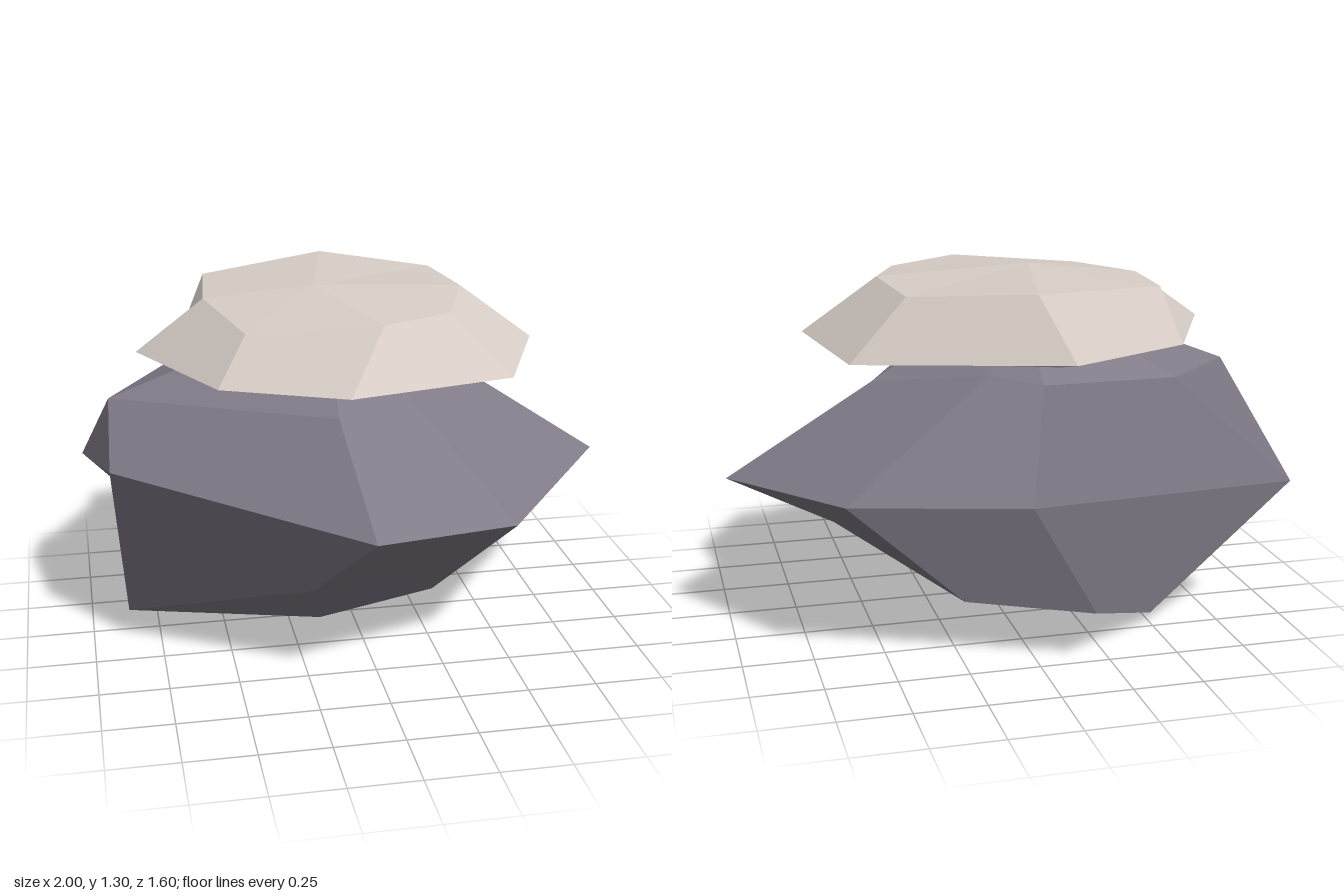
import * as THREE from 'three';

// Skin a stack of rings (bottom to top, each running +z -> +x -> -z) closed by two poles.
// Each quad or triangle is shaded flat with a single normal.
function facetedStone(name, rings, bottom, top, material) {
  const pos = [], nor = [];
  const v = (p) => new THREE.Vector3(...p);
  const tri = (a, b, c, normal) => {
    pos.push(...a, ...b, ...c);
    for (let k = 0; k < 3; k++) nor.push(...normal);
  };
  const cross = (a, b, c, d) => v(b).sub(v(a)).cross(v(d).sub(v(c))).normalize().toArray();
  const n = rings[0].length;
  const last = rings[rings.length - 1];
  for (let i = 0; i < n; i++) {
    const j = (i + 1) % n;
    tri(rings[0][j], rings[0][i], bottom, cross(rings[0][j], rings[0][i], rings[0][j], bottom));
    for (let r = 0; r < rings.length - 1; r++) {
      const a = rings[r][i], b = rings[r][j], c = rings[r + 1][j], d = rings[r + 1][i];
      const normal = cross(a, c, b, d);
      tri(a, b, c, normal);
      tri(a, c, d, normal);
    }
    tri(last[i], last[j], top, cross(last[i], last[j], last[i], top));
  }
  const geometry = new THREE.BufferGeometry();
  geometry.setAttribute('position', new THREE.Float32BufferAttribute(pos, 3));
  geometry.setAttribute('normal', new THREE.Float32BufferAttribute(nor, 3));
  const mesh = new THREE.Mesh(geometry, material);
  mesh.name = name;
  return mesh;
}

export function createModel() {
  const group = new THREE.Group();
  group.name = 'stackedRocks';
  const darkStone = new THREE.MeshStandardMaterial({ color: 0x827c89 });
  darkStone.name = 'dark stone';
  const paleStone = new THREE.MeshStandardMaterial({ color: 0xd8cec7 });
  paleStone.name = 'pale stone';

  // large seven-sided boulder
  const foot = [
    [-0.2, 0.245, 0.31], [0.285, 0.145, 0.165], [0.585, 0.3, 0.08], [0.236, 0.208, -0.61],
    [-0.19, 0.188, -0.777], [-0.5, 0.04, -0.47], [-0.865, 0.113, 0.07],
  ];
  const waist = [
    [-0.06, 0.625, 0.8], [0.505, 0.542, 0.53], [1, 0.57, -0.13], [0.655, 0.605, -0.68],
    [0.03, 0.577, -0.755], [-1, 0.533, -0.54], [-0.91, 0.693, 0.13],
  ];
  const shoulder = [
    [-0.13, 0.963, 0.47], [0.11, 1.025, 0.28], [0.475, 0.913, -0.197], [0.13, 0.985, -0.52],
    [-0.02, 0.983, -0.69], [-0.54, 0.95, -0.55], [-0.895, 0.903, -0.092],
  ];
  group.add(facetedStone('boulder', [foot, waist, shoulder],
    [-0.13, 0, 0.04], [-0.08, 1.22, -0.07], darkStone));

  // eight-sided slab resting on top
  const rim = [
    [-0.1, 1.055, 0.545], [0.52, 1.04, 0.36], [0.7, 1.073, -0.04], [0.605, 1.05, -0.52],
    [-0.1, 1.07, -0.803], [-0.57, 1.06, -0.53], [-0.785, 1.075, -0.095], [-0.53, 1.05, 0.34],
  ];
  const crown = [
    [0.045, 1.262, 0.383], [0.32, 1.253, 0.225], [0.435, 1.27, -0.095], [0.4, 1.26, -0.465],
    [0, 1.288, -0.68], [-0.495, 1.262, -0.485], [-0.53, 1.255, -0.13], [-0.425, 1.23, 0.29],
  ];
  // the underside is the rim drawn inward
  const underside = rim.map(([x, , z]) => [-0.08 + (x + 0.08) * 0.78, 1.025, -0.1 + (z + 0.1) * 0.74]);
  group.add(facetedStone('capSlab', [underside, rim, crown],
    [-0.08, 1.025, -0.1], [-0.125, 1.297, -0.095], paleStone));

  return group;
}
